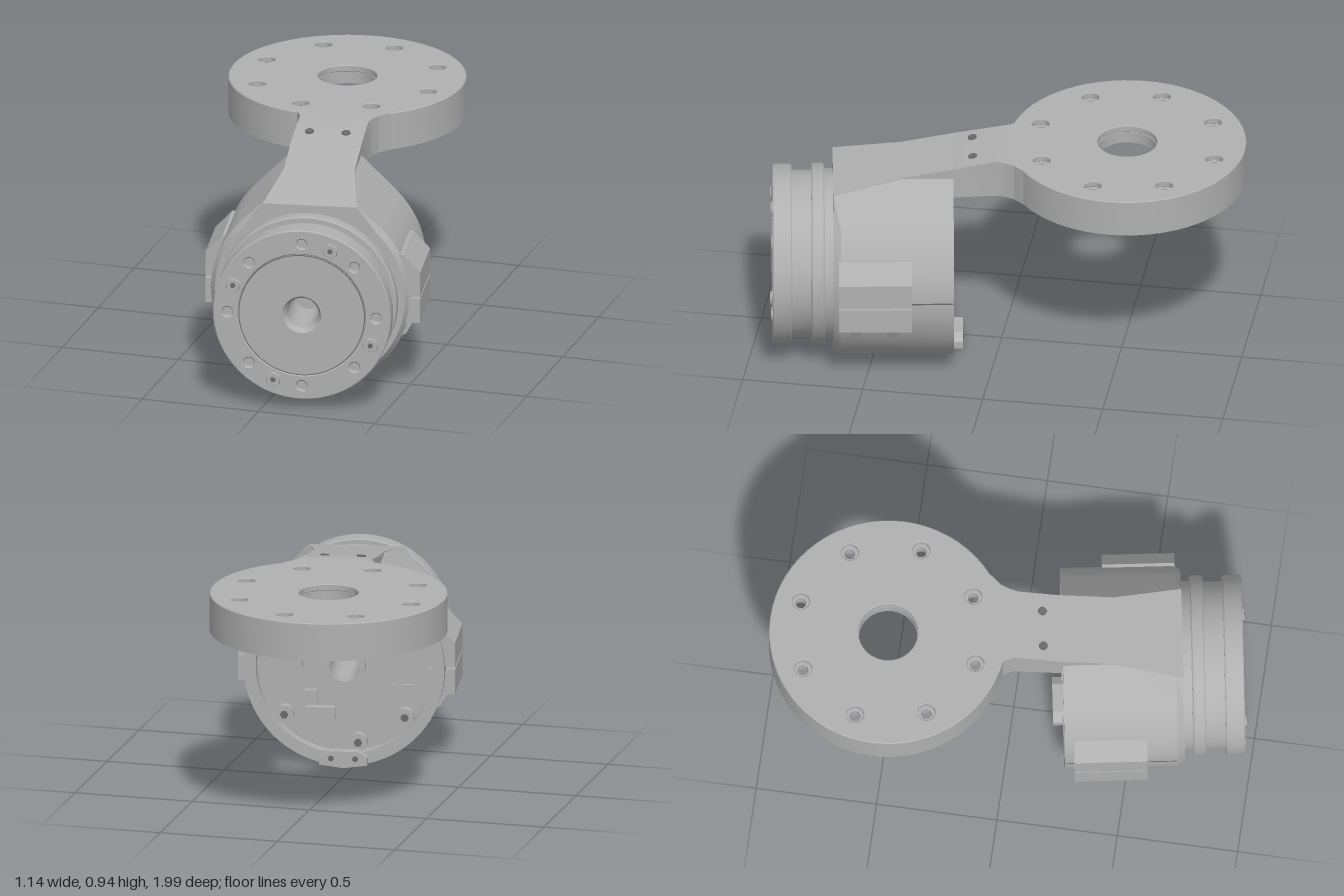
import * as THREE from 'three';
import { toCreasedNormals } from 'three/addons/utils/BufferGeometryUtils.js';

const grey = new THREE.MeshStandardMaterial({ color: 0xb0b0b0, side: THREE.DoubleSide });
grey.name = 'metal grey';
const dark = new THREE.MeshStandardMaterial({ color: 0x6a6a6a, side: THREE.DoubleSide });
dark.name = 'dark recess';

function add(parent, name, geometry, pos = [0, 0, 0], material = grey) {
  const m = new THREE.Mesh(geometry, material);
  m.name = name;
  m.position.set(...pos);
  parent.add(m);
  return m;
}

// skin between matching rings, counterclockwise from +z and advancing towards -z
function loft(rings, crease = 0.5) {
  const pos = [];
  for (let i = 0; i < rings.length - 1; i++) {
    const n = rings[i].length;
    for (let j = 0; j < n; j++) {
      const k = (j + 1) % n;
      const a = rings[i][j], b = rings[i][k], c = rings[i + 1][j], d = rings[i + 1][k];
      pos.push(...a, ...c, ...b, ...b, ...c, ...d);
    }
  }
  const g = new THREE.BufferGeometry();
  g.setAttribute('position', new THREE.Float32BufferAttribute(pos, 3));
  return toCreasedNormals(g, crease);
}

// disc with round holes given as [x, y, r], thick along +z
function plate(r, holes, depth, bevel = 0) {
  const s = new THREE.Shape().absarc(0, 0, r, 0, Math.PI * 2);
  for (const [x, y, hr] of holes) s.holes.push(new THREE.Path().absarc(x, y, hr, 0, Math.PI * 2, true));
  const g = new THREE.ExtrudeGeometry(s, {
    depth, curveSegments: 32, bevelEnabled: bevel > 0, bevelSize: bevel,
    bevelThickness: bevel, bevelOffset: -bevel, bevelSegments: 1,
  });
  return toCreasedNormals(g, 0.5);
}

// turned part along z from [radius, z] pairs
function turned(profile) {
  const g = new THREE.LatheGeometry(profile.map(p => new THREE.Vector2(...p)), 64);
  return toCreasedNormals(g.rotateX(Math.PI / 2), 0.5);
}

function extrude(points, depth) {
  const s = new THREE.Shape(points.map(p => new THREE.Vector2(...p)));
  return new THREE.ExtrudeGeometry(s, { depth, bevelEnabled: false });
}

const polar = (r, deg) => [r * Math.cos(deg * Math.PI / 180), r * Math.sin(deg * Math.PI / 180)];

// round housing outline with a 45 degree gable, cut by the sloping top of the arm
function section(z, r = 0.415) {
  const h = 0.39 + 0.193 * (-0.25 - z), y = Math.min(h, 0.44), w = 0.586 - y;
  const ring = [];
  for (let i = 0; i <= 54; i++) ring.push([...polar(r, 135 + i * 5), z]);
  ring.push([w, y, z], [w, h, z], [-w, h, z], [-w, y, z]);
  return ring;
}

function buildMount() {
  const g = new THREE.Group();
  g.name = 'mountingDisc';
  g.position.set(-0.085, 0, -0.51);
  const spots = [...Array(8).keys()].map(i => polar(0.384, 77.2 + i * 45));
  const layer = (name, r, hole, holeR, depth, y, bevel) => {
    const geo = plate(r, [[0, 0, holeR], ...(hole ? spots.map(p => [...p, hole]) : [])], depth, bevel);
    add(g, name, geo.rotateX(-Math.PI / 2), [0, y, 0]);
  };
  layer('discTop', 0.49, 0.035, 0.122, 0.022, 0.919, 0.004);
  layer('discWeb', 0.488, 0.022, 0.12, 0.05, 0.866);
  layer('discRim', 0.49, 0, 0.455, 0.134, 0.785);
  return g;
}

// neck that flares into the disc, rows of [left x, left z, right x, right z, bottom, top]
function buildArm() {
  const rows = [
    [-0.098, 0.245, 0.19, 0.195, 0.77, 0.9],
    [-0.102, 0.219, 0.186, 0.171, 0.77, 0.905],
    [-0.125, 0.02, 0.164, 0.0, 0.782, 0.945],
    [-0.145, -0.02, 0.17, -0.04, 0.785, 0.945],
    [-0.175, -0.045, 0.185, -0.08, 0.785, 0.945],
    [-0.235, -0.07, 0.22, -0.125, 0.785, 0.945],
  ];
  return loft(rows.map(([lx, lz, rx, rz, b, t]) =>
    [[rx, b, rz], [rx, t, rz], [lx, t, lz], [lx, b, lz]]), 0.3);
}

function buildMotor() {
  const g = new THREE.Group();
  g.name = 'actuator';
  g.position.set(0.165, 0.42, 0.93);
  g.rotation.y = 0.165;

  // housing shell and its end faces
  add(g, 'housing', loft([section(-0.25, 0.395), section(-0.28), section(-0.53), section(-0.745)]));
  const outline = (z, r) => new THREE.Shape(section(z, r).map(p => new THREE.Vector2(p[0], p[1])));
  add(g, 'housingFront', new THREE.ShapeGeometry(outline(-0.25, 0.395)), [0, 0, -0.25]);
  const back = outline(-0.745);
  back.holes.push(new THREE.Path().absarc(0, 0, 0.365, 0, Math.PI * 2, true));
  add(g, 'housingBackRim', new THREE.ShapeGeometry(back, 32), [0, 0, -0.745]);
  add(g, 'backRecess', turned([[0.365, -0.745], [0.365, -0.69], [0.06, -0.69]]));

  // output flanges
  add(g, 'rearFlange', turned([[0.35, -0.25], [0.35, -0.215], [0.366, -0.215], [0.372, -0.209],
    [0.372, -0.166], [0.366, -0.16], [0.345, -0.16], [0.345, -0.08]]));
  const holes = [...Array(8).keys()].map(i => [...polar(0.309, i * 45), 0.02]);
  add(g, 'frontFlange', plate(0.37, [[0, 0, 0.263], ...holes], 0.07, 0.005), [0, 0, -0.075]);
  add(g, 'flangeHoleFloor', new THREE.RingGeometry(0.262, 0.36, 48), [0, 0, -0.03]);
  add(g, 'outputFaceAndBore', turned([[0.267, -0.05], [0.262, -0.003], [0.08, -0.003], [0.065, -0.03],
    [0.062, -0.69], [0.062, -0.72], [0.085, -0.72], [0.085, -0.69]]));
  add(g, 'faceGroove', new THREE.RingGeometry(0.259, 0.263, 64), [0, 0, 0.0005], dark);
  holes.forEach(([x, y]) => add(g, 'holeCollar', new THREE.RingGeometry(0.013, 0.02, 6), [x, y, -0.012]));

  // hex screws and one plug
  for (const deg of [67.5, 157.5, 247.5, 337.5]) {
    const [x, y] = polar(0.309, deg);
    add(g, 'hexScrew', new THREE.CylinderGeometry(0.03, 0.034, 0.008, 6).rotateX(Math.PI / 2), [x, y, 0.003]);
    add(g, 'screwSocket', new THREE.CircleGeometry(0.012, 6), [x, y, 0.0075], dark);
  }
  add(g, 'plug', new THREE.CylinderGeometry(0.023, 0.023, 0.004, 24).rotateX(Math.PI / 2), [...polar(0.309, 202.5), 0.001]);

  // split clamp blocks with ribs, one on each side
  for (const [side, z] of [[1, -0.572], [-1, -0.705]]) {
    const block = new THREE.Group();
    block.name = side > 0 ? 'leftClamp' : 'rightClamp';
    block.scale.x = side;
    g.add(block);
    add(block, 'upperClamp', extrude([[0.34, 0.004], [0.455, 0.004], [0.455, 0.11], [0.385, 0.185], [0.34, 0.185]], 0.3), [0, 0, z]);
    add(block, 'lowerClamp', extrude([[0.34, -0.11], [0.455, -0.11], [0.455, -0.004], [0.34, -0.004]], 0.3), [0, 0, z]);
    for (const dz of [0.055, 0.205]) {
      add(block, 'clampRib', extrude([[0.36, -0.19], [0.39, -0.175], [0.425, -0.11], [0.36, -0.11]], 0.05), [0, 0, z + dz]);
    }
    add(block, 'housingSeam', new THREE.BoxGeometry(0.004, 0.006, 0.46), [0.4145, 0, -0.513], dark);
  }

  // foot tab under the back rim
  const tab = extrude([[-0.1, -0.402], [0, -0.415], [0.1, -0.402], [0.1, -0.37], [0.06, -0.345], [-0.06, -0.345], [-0.1, -0.37]], 0.045);
  add(g, 'footTab', tab, [0, 0, -0.785]);
  for (const x of [-0.05, 0.05]) add(g, 'tabHole', new THREE.CircleGeometry(0.012, 16), [x, -0.375, -0.786], dark);

  // screw bosses and connectors in the back recess
  for (const deg of [40, 100, 140, 220, 260, 320]) {
    const [x, y] = polar(0.325, deg);
    add(g, 'boss', new THREE.CylinderGeometry(0.038, 0.038, 0.04, 20).rotateX(Math.PI / 2), [x, y, -0.71]);
    add(g, 'bossScrew', new THREE.CircleGeometry(0.018, 6), [x, y, -0.731], dark);
  }
  for (const [x, y, w, h, d] of [[0.2, 0.06, 0.05, 0.14, 0.04], [-0.1, 0.15, 0.06, 0.14, 0.04],
    [-0.24, -0.12, 0.09, 0.09, 0.012], [0.1, -0.2, 0.12, 0.05, 0.035], [0.14, -0.13, 0.05, 0.05, 0.03]]) {
    add(g, 'connector', new THREE.BoxGeometry(w, h, d), [x, y, -0.69 - d / 2]);
  }
  return g;
}

export function createModel() {
  const model = new THREE.Group();
  model.name = 'actuatorBracket';
  model.add(buildMount(), buildMotor());
  add(model, 'arm', buildArm());
  // two pin holes on the sloping arm top
  for (const [x, y, z] of [[-0.05, 0.9245, 0.13], [0.1, 0.9245, 0.105]]) {
    const pin = add(model, 'pinHole', new THREE.CylinderGeometry(0.018, 0.018, 0.008, 20), [x, y, z], dark);
    pin.rotation.x = 0.2;
  }
  return model;
}
